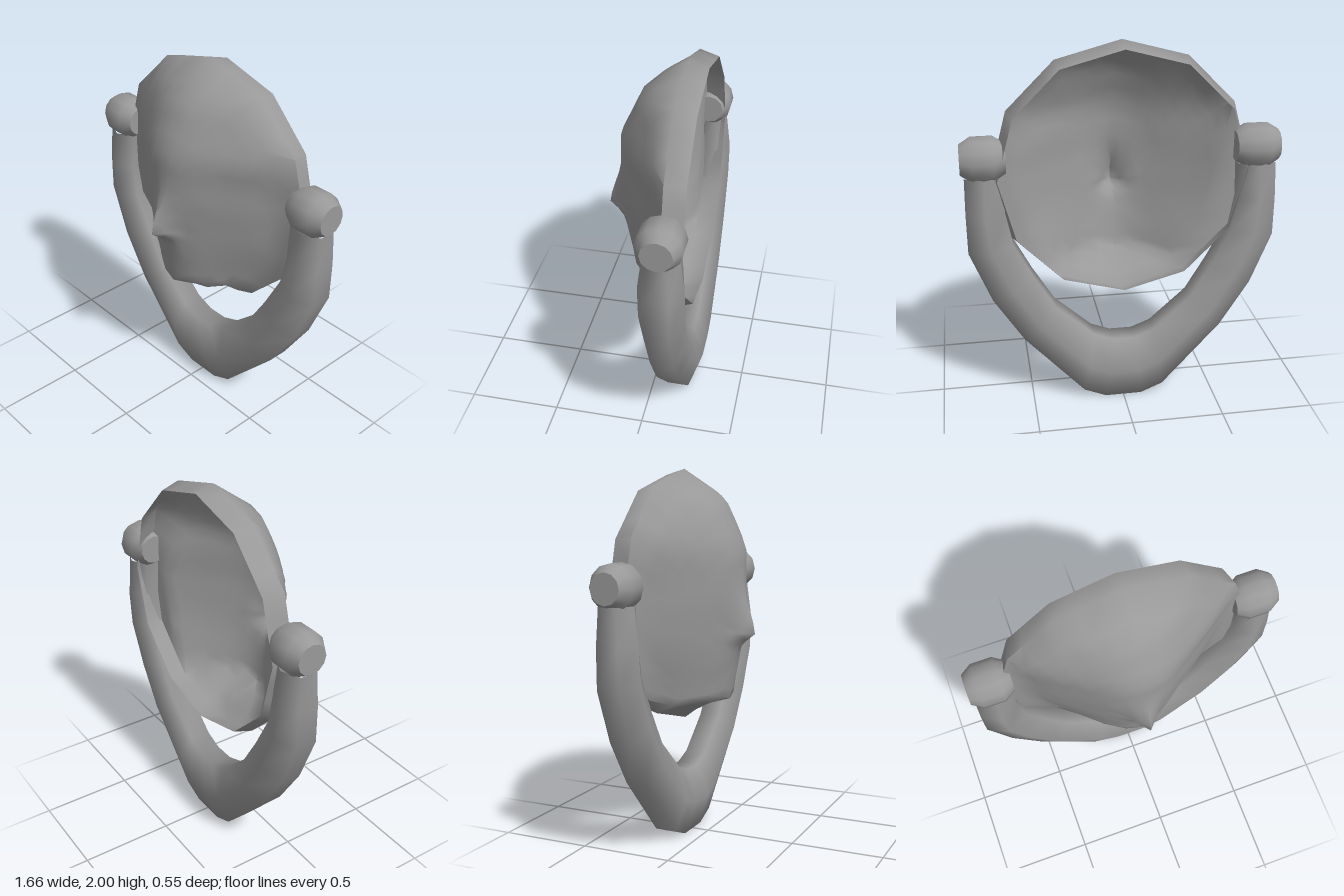
import * as THREE from 'three';
import { mergeVertices, toCreasedNormals } from 'three/addons/utils/BufferGeometryUtils.js';

const grey = new THREE.MeshStandardMaterial({ color: 0x999999 });
const greyDouble = new THREE.MeshStandardMaterial({ color: 0x999999, side: THREE.DoubleSide });
const BACK = -0.155; // depth of the handle's middle plane

// Skin a list of closed rings, each an array of [x, y, z]
function skin(rings) {
  const n = rings[0].length, index = [];
  for (let i = 0; i < rings.length - 1; i++) {
    for (let j = 0; j < n; j++) {
      const a = i * n + j, b = i * n + (j + 1) % n;
      index.push(a, b, b + n, a, b + n, a + n);
    }
  }
  let geo = new THREE.BufferGeometry();
  geo.setAttribute('position', new THREE.Float32BufferAttribute(rings.flat(2), 3));
  geo.setIndex(index);
  geo = mergeVertices(geo, 1e-4);
  geo.computeVertexNormals();
  return geo;
}

// Piecewise linear lookup in [[key, value], ...]
function lookup(table, k) {
  for (let i = 1; i < table.length; i++) {
    const [k0, v0] = table[i - 1], [k1, v1] = table[i];
    if (k <= k1) return v0 + (v1 - v0) * Math.max(0, (k - k0) / (k1 - k0));
  }
  return table[table.length - 1][1];
}

// Face relief: centre line by height, fall-off by width, and a nose ridge
const MID = 1.32, R = 0.68, TIP = 1.13;
const centreLine = [[0.64, -0.14], [0.73, -0.02], [0.77, 0.13], [1, 0.17], [1.32, 0.205],
  [1.58, 0.2], [1.84, 0.08], [2, -0.14]];
const fallOff = [[0, 0], [0.08, 0.01], [0.16, 0.04], [0.3, 0.12], [0.44, 0.2], [0.7, 0.37]];
const hollow = [[0.75, 1.6], [1.1, 1.25], [1.45, 1.2], [1.65, 1]];
const nose = [[1, 0], [1.07, 0.02], [TIP, 0.09], [1.2, 0.07], [1.36, 0]];

function relief(x, y, k) {
  const w = Math.abs(x);
  const face = lookup(centreLine, y) - lookup(fallOff, w) * lookup(hollow, y);
  const flare = -0.14 + 0.1 * (1 - k); // shallow border behind the cheeks
  return Math.max(face, flare) + lookup(nose, y) * Math.max(0, 1 - w / 0.095);
}

// Radius of the twelve-sided outline at an angle
function rimRadius(a) {
  const s = Math.PI / 6;
  const off = ((a % s) + s) % s - s / 2;
  return R * Math.cos(s / 2) / Math.cos(off);
}

// Open-backed mask, ringed outwards from the nose tip
function mask() {
  const N = 36;
  const around = (f) => Array.from({ length: N }, (_, j) => f(-j / N * Math.PI * 2));
  const steps = [0, 0.07, 0.14, 0.22, 0.32, 0.43, 0.54, 0.64, 0.735, 0.816, 0.9];
  const rings = steps.map((t) => around((a) => {
    const r = rimRadius(a);
    const x = t * r * Math.cos(a);
    const y = TIP + t * (MID + r * Math.sin(a) - TIP);
    const k = Math.hypot(x, y - MID) / rimRadius(Math.atan2(y - MID, x));
    return [x, y, relief(x, y, k)];
  }));
  // outline and the short band behind it
  for (const [scale, z] of [[1, -0.14], [0.955, -0.245]]) {
    rings.push(around((a) => {
      const r = rimRadius(a) * scale;
      return [r * Math.cos(a), MID + r * Math.sin(a), z];
    }));
  }
  return new THREE.Mesh(toCreasedNormals(skin(rings), 1.1), greyDouble);
}

// U-shaped handle: outer edge, inner edge and half depth at each station
function handle() {
  const half = [
    [0.812, 1.335, 0.612, 1.335, 0.092],
    [0.815, 1.14, 0.615, 1.14, 0.117],
    [0.813, 0.93, 0.58, 0.96, 0.118],
    [0.7, 0.65, 0.48, 0.77, 0.118],
    [0.54, 0.4, 0.365, 0.58, 0.118],
    [0.22, 0.05, 0.165, 0.4, 0.118],
    [0.1, 0, 0.06, 0.36, 0.118],
  ];
  const mirrored = half.map(([ox, oy, ix, iy, d]) => [-ox, oy, -ix, iy, d]).reverse();
  const rings = [...half, ...mirrored].map(([ox, oy, ix, iy, d]) =>
    Array.from({ length: 6 }, (_, j) => {
      const a = (j + 0.5) * Math.PI / 3;
      const c = Math.cos(a) / Math.cos(Math.PI / 6) / 2;
      return [(ox + ix) / 2 + (ox - ix) * c, (oy + iy) / 2 + (oy - iy) * c, BACK + d * Math.sin(a)];
    }));
  return new THREE.Mesh(skin(rings), grey);
}

// Pivot knob: flat-ended ball lying along x
function knob(side) {
  const profile = [[0, -0.115], [0.08, -0.115], [0.118, -0.055], [0.118, 0.055], [0.08, 0.115], [0, 0.115]]
    .map(([r, h]) => new THREE.Vector2(r, h));
  const geo = toCreasedNormals(new THREE.LatheGeometry(profile, 12), 0.8);
  geo.rotateZ(Math.PI / 2);
  const mesh = new THREE.Mesh(geo, grey);
  mesh.position.set(side * 0.715, 1.422, BACK);
  return mesh;
}

export function createModel() {
  const model = new THREE.Group();
  model.name = 'maskOnHandle';
  const add = (mesh, name) => { mesh.name = name; model.add(mesh); };
  add(mask(), 'mask');
  add(handle(), 'handle');
  add(knob(1), 'leftKnob');
  add(knob(-1), 'rightKnob');
  return model;
}
